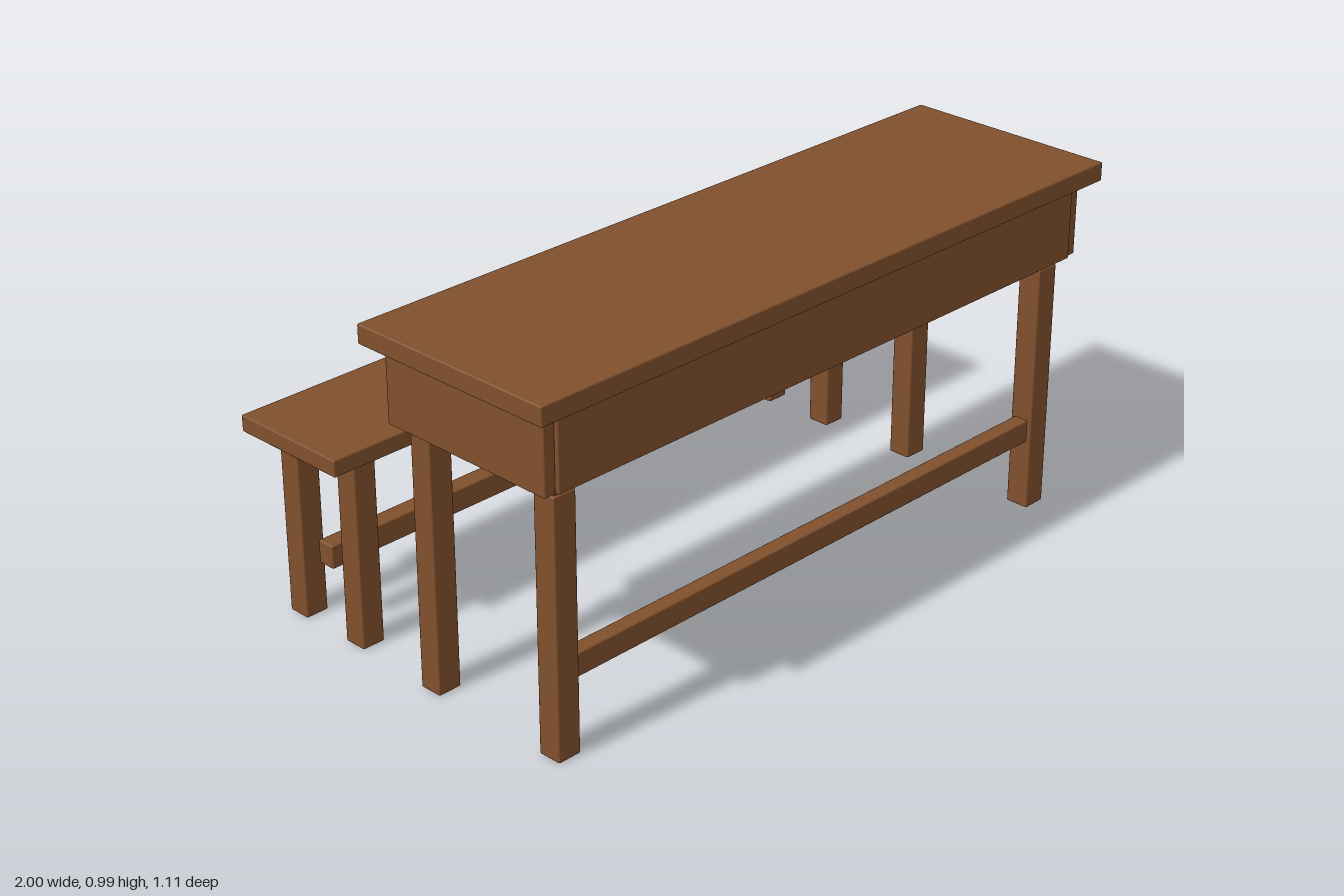
import * as THREE from 'three';
import { RoundedBoxGeometry } from 'three/addons/geometries/RoundedBoxGeometry.js';

export function createModel() {
  const wood = new THREE.MeshStandardMaterial({ color: 0x80502d });
  wood.name = 'brown wood';

  // A softly chamfered board given by its limits on each axis
  function board(parent, name, [x0, x1], [y0, y1], [z0, z1]) {
    const geometry = new RoundedBoxGeometry(x1 - x0, y1 - y0, z1 - z0, 1, 0.004);
    const mesh = new THREE.Mesh(geometry, wood);
    mesh.position.set((x0 + x1) / 2, (y0 + y1) / 2, (z0 + z1) / 2);
    mesh.name = name;
    parent.add(mesh);
  }

  // The same board on the left and right ends
  function pair(parent, name, [x0, x1], y, z) {
    board(parent, name + 'Left', [x0, x1], y, z);
    board(parent, name + 'Right', [-x1, -x0], y, z);
  }

  const model = new THREE.Group();
  model.name = 'deskAndBench';

  // Desk: top, open-backed storage box, legs and front stretcher
  const desk = new THREE.Group();
  desk.name = 'desk';
  board(desk, 'deskTop', [-1, 1], [0.933, 0.985], [-0.063, 0.553]);
  board(desk, 'frontPanel', [-0.922, 0.922], [0.727, 0.921], [0.488, 0.52]);
  pair(desk, 'sidePanel', [0.922, 0.957], [0.727, 0.921], [-0.02, 0.511]);
  board(desk, 'shelf', [-0.908, 0.908], [0.708, 0.738], [0, 0.49]);
  board(desk, 'divider', [-0.01, 0.01], [0.738, 0.921], [0, 0.488]);
  pair(desk, 'deskFrontLeg', [0.842, 0.911], [0, 0.705], [0.423, 0.49]);
  pair(desk, 'deskBackLeg', [0.842, 0.911], [0, 0.705], [0.002, 0.068]);
  board(desk, 'deskStretcher', [-0.845, 0.845], [0.198, 0.262], [0.433, 0.477]);
  model.add(desk);

  // Bench: seat, legs and central stretcher
  const bench = new THREE.Group();
  bench.name = 'bench';
  board(bench, 'seat', [-0.985, 0.985], [0.529, 0.575], [-0.553, -0.197]);
  pair(bench, 'benchFrontLeg', [0.833, 0.9], [0, 0.519], [-0.297, -0.23]);
  pair(bench, 'benchBackLeg', [0.833, 0.9], [0, 0.519], [-0.518, -0.452]);
  board(bench, 'benchStretcher', [-0.89, 0.89], [0.18, 0.245], [-0.4, -0.347]);
  model.add(bench);

  return model;
}
